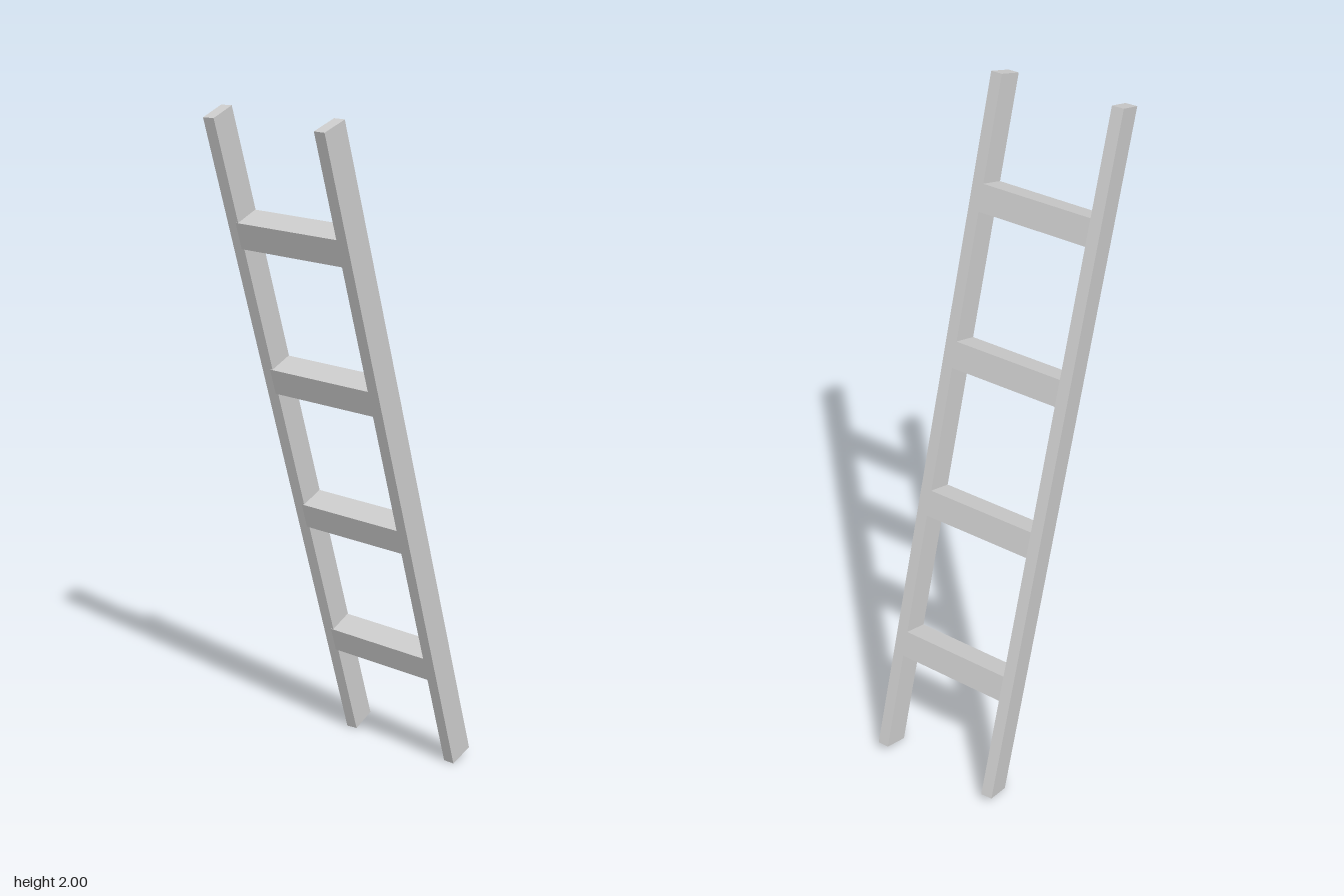
import * as THREE from 'three';

const LENGTH = 2.065, DEPTH = 0.083, THICK = 0.035;
const material = new THREE.MeshStandardMaterial({ color: 0xcccccc, flatShading: true });

function box(name, w, h, d, y, z) {
  const mesh = new THREE.Mesh(new THREE.BoxGeometry(w, h, d), material);
  mesh.name = name;
  mesh.position.set(0, y, z);
  return mesh;
}

export function createModel() {
  const model = new THREE.Group();
  model.name = 'ladder';

  // The ladder is built upright, then leaned towards -x
  const frame = new THREE.Group();
  frame.name = 'leaningFrame';
  frame.position.y = 1;
  frame.rotation.z = THREE.MathUtils.degToRad(16.8);
  model.add(frame);

  // Side rails; the back one is twisted a little about its length
  frame.add(box('frontRail', DEPTH, LENGTH, THICK, 0, 0.192));
  const backRail = box('backRail', DEPTH, LENGTH, THICK, 0, -0.19);
  backRail.rotation.y = THREE.MathUtils.degToRad(5.3);
  frame.add(backRail);

  // Four evenly spaced rungs, flush with the rails
  for (let i = 0; i < 4; i++) {
    frame.add(box('rung' + (i + 1), DEPTH, 0.079, 0.351, (i - 1.5) * 0.457 + 0.004, -0.001));
  }
  return model;
}
